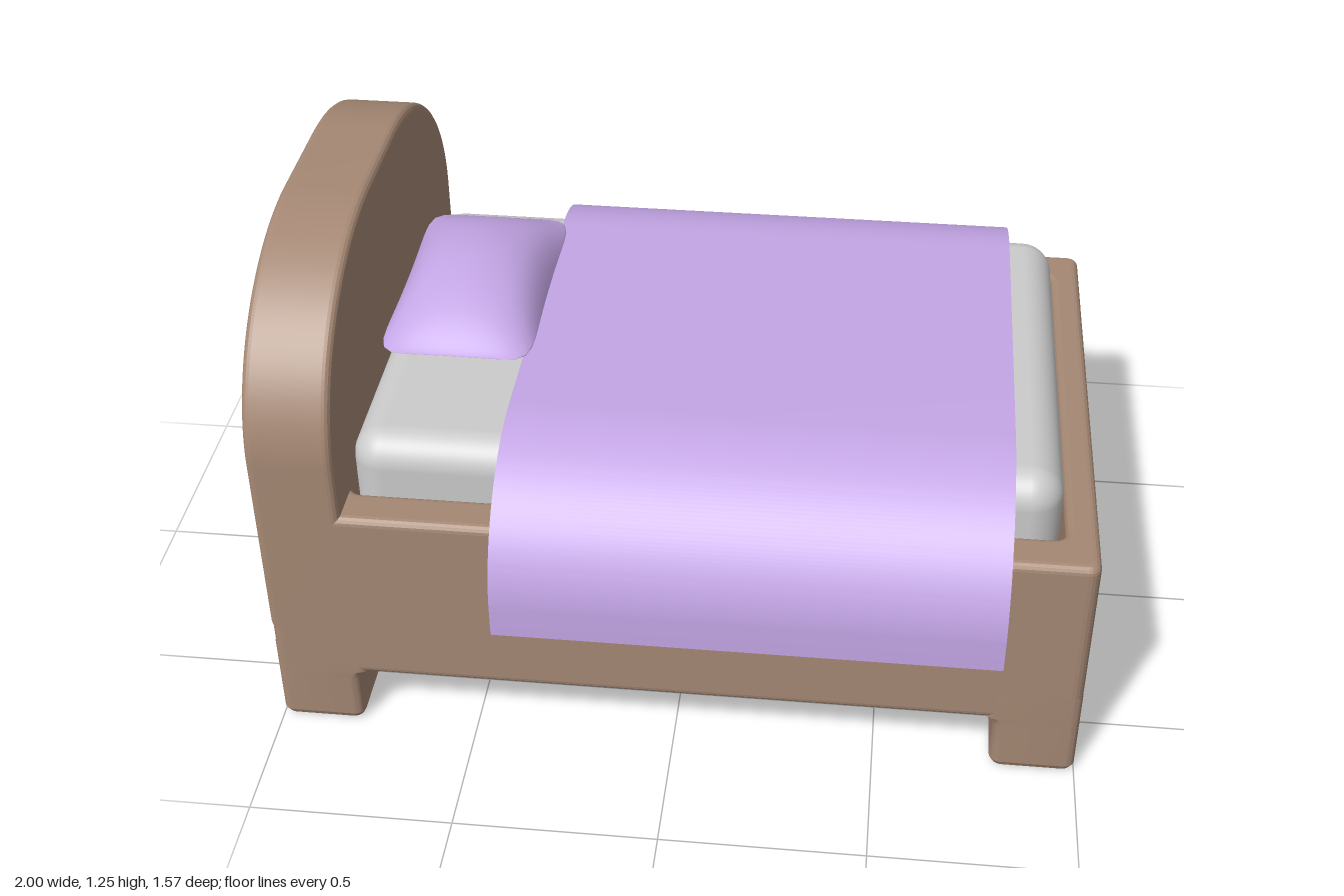
import * as THREE from 'three';
import { mergeVertices, toCreasedNormals } from 'three/addons/utils/BufferGeometryUtils.js';
import { RoundedBoxGeometry } from 'three/addons/geometries/RoundedBoxGeometry.js';

const wood = new THREE.MeshStandardMaterial({ color: 0xa58874 });
const fabric = new THREE.MeshStandardMaterial({ color: 0xc4a6e6 });
const grey = new THREE.MeshStandardMaterial({ color: 0xcccccc });
const EDGE = 0.02; // rounding of the wooden edges

function part(name, geometry, material) {
  const mesh = new THREE.Mesh(geometry, material);
  mesh.name = name;
  return mesh;
}

// Rectangle outline with rounded corners, as counter-clockwise points
function roundedRect(x0, x1, y0, y1, r, steps = 5) {
  const corners = [[x1 - r, y1 - r], [x0 + r, y1 - r], [x0 + r, y0 + r], [x1 - r, y0 + r]];
  return corners.flatMap(([cx, cy], q) => Array.from({ length: steps + 1 }, (_, i) => {
    const a = (q + i / steps) * Math.PI / 2;
    return new THREE.Vector2(cx + r * Math.cos(a), cy + r * Math.sin(a));
  }));
}

// Bevelled extrusion along z from 0 to depth; the bevel stays inside depth
function bevelled(shape, depth) {
  const g = new THREE.ExtrudeGeometry(shape, {
    depth: depth - 2 * EDGE, bevelEnabled: true, bevelThickness: EDGE,
    bevelSize: EDGE, bevelOffset: -EDGE, bevelSegments: 4, curveSegments: 28,
  });
  g.translate(0, 0, EDGE);
  return toCreasedNormals(g, 0.15);
}

// Open-topped box frame with a floor inside
function createFrame() {
  const group = new THREE.Group();
  group.name = 'bedFrame';
  const outline = new THREE.Shape(roundedRect(-1, 1, -0.68, 0.68, 0.03));
  outline.holes.push(new THREE.Path(roundedRect(-0.79, 0.92, -0.57, 0.57, 0.03).reverse()));
  const rim = bevelled(outline, 0.495);
  rim.rotateX(-Math.PI / 2).translate(0, 0.165, 0);
  const floor = new THREE.BoxGeometry(1.8, 0.235, 1.2);
  floor.translate(0.05, 0.2825, 0);
  group.add(part('sideRails', rim, wood), part('bedBase', floor, wood));
  return group;
}

// Leg lofted upwards: rounded foot, straight shaft, small flare on the inner sides
function legGeometry(sx, sz) {
  const rings = [[0, EDGE, 0], [0.006, 0.006, 0], [EDGE, 0, 0], [0.14, 0, 0],
    [0.152, 0, 0.004], [0.161, 0, 0.012], [0.166, 0, 0.025], [0.25, 0, 0.025]];
  const pos = [], index = [];
  let n = 0;
  for (const [y, inset, flare] of rings) {
    const xs = [sx * (1 - inset), sx * (0.79 + inset - flare)].sort((a, b) => a - b);
    const zs = [sz * (0.68 - inset), sz * (0.48 + inset - flare)].sort((a, b) => a - b);
    const ring = roundedRect(xs[0], xs[1], zs[0], zs[1], 0.025);
    n = ring.length;
    ring.forEach((p) => pos.push(p.x, y, p.y));
  }
  for (let k = 0; k < rings.length - 1; k++) {
    for (let i = 0; i < n; i++) {
      const a = k * n + i, b = k * n + (i + 1) % n;
      index.push(a, a + n, b, b, a + n, b + n);
    }
  }
  for (let i = 1; i < n - 1; i++) index.push(0, i, i + 1); // sole
  const g = new THREE.BufferGeometry();
  g.setAttribute('position', new THREE.Float32BufferAttribute(pos, 3));
  g.setIndex(index);
  return toCreasedNormals(g, 0.35);
}

// Board with straight sides and a broad arched top
function headboardGeometry() {
  const s = new THREE.Shape();
  s.moveTo(-0.68, 0.3);
  s.lineTo(0.68, 0.3);
  s.lineTo(0.68, 0.8);
  s.absellipse(0.13, 0.8, 0.55, 0.453, 0, Math.PI / 2, false, 0);
  s.absellipse(-0.13, 0.8, 0.55, 0.453, Math.PI / 2, Math.PI, false, 0);
  s.closePath();
  const g = bevelled(s, 0.21);
  g.rotateY(Math.PI / 2).translate(-1, 0, 0);
  return g;
}

// Thin draped sheet: flat top, elliptical shoulders, straight hems
function blanketGeometry() {
  const s = new THREE.Shape();
  const t = 0.022;
  s.moveTo(0.785, 0.425);
  s.lineTo(0.785, 0.5);
  s.absellipse(0.41, 0.5, 0.375, 0.335, 0, Math.PI / 2, false, 0);
  s.absellipse(-0.41, 0.5, 0.375, 0.335, Math.PI / 2, Math.PI, false, 0);
  s.lineTo(-0.785, 0.425);
  s.lineTo(-0.785 + t, 0.425);
  s.lineTo(-0.785 + t, 0.5);
  s.absellipse(-0.41, 0.5, 0.375 - t, 0.335 - t, Math.PI, Math.PI / 2, true, 0);
  s.absellipse(0.41, 0.5, 0.375 - t, 0.335 - t, Math.PI / 2, 0, true, 0);
  s.lineTo(0.785 - t, 0.425);
  s.closePath();
  const g = new THREE.ExtrudeGeometry(s, { depth: 1.21, bevelEnabled: false, curveSegments: 28 });
  g.rotateY(Math.PI / 2).translate(-0.42, 0, 0);
  return toCreasedNormals(g, 0.3);
}

// Sphere reshaped into a cushion with a squarish seam and slightly pulled corners
function pillowGeometry() {
  let g = new THREE.SphereGeometry(1, 64, 40);
  g.deleteAttribute('uv');
  g.deleteAttribute('normal');
  g = mergeVertices(g, 1e-5);
  const p = g.attributes.position;
  for (let i = 0; i < p.count; i++) {
    const x = p.getX(i), y = p.getY(i), z = p.getZ(i);
    const r = Math.min(1, Math.hypot(x, z));
    const c = r > 1e-6 ? x / r : 0, s = r > 1e-6 ? z / r : 0;
    const k = r / Math.pow(c ** 8 + s ** 8 || 1, 1 / 8);
    const u = c * k, v = s * k;
    const height = Math.max(0, 1 - u * u) ** 0.5 * Math.max(0, 1 - v * v) ** 0.85
      * Math.sqrt(Math.max(0, 1 - r ** 8));
    p.setXYZ(i, 0.193 * u * (1 - 0.05 * (1 - v * v)), 0.108 * Math.sign(y) * height,
      0.333 * v * (1 - 0.02 * (1 - u * u)));
  }
  g.computeVertexNormals();
  g.translate(-0.57, 0.902, 0);
  return g;
}

export function createModel() {
  const bed = new THREE.Group();
  bed.name = 'bed';
  bed.add(createFrame());
  for (const sx of [-1, 1]) {
    for (const sz of [-1, 1]) {
      const name = (sz > 0 ? 'front' : 'back') + (sx > 0 ? 'Left' : 'Right') + 'Leg';
      bed.add(part(name, legGeometry(sx, sz), wood));
    }
  }
  bed.add(part('headboard', headboardGeometry(), wood));

  const mattress = new RoundedBoxGeometry(1.7, 0.42, 1.12, 6, 0.08);
  mattress.translate(0.06, 0.59, 0);
  bed.add(part('mattress', mattress, grey));

  bed.add(part('blanket', blanketGeometry(), fabric));
  bed.add(part('pillow', pillowGeometry(), fabric));
  return bed;
}
